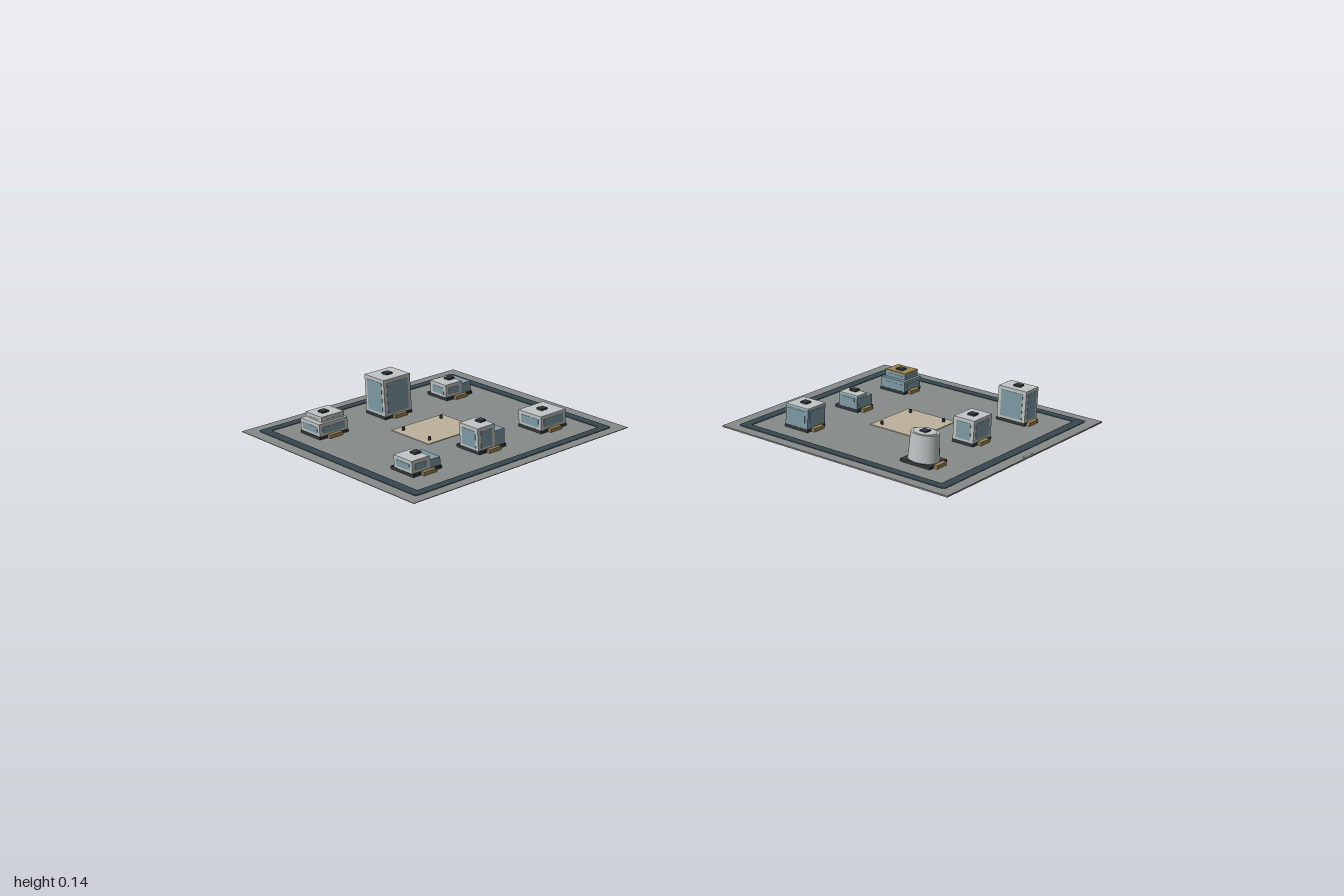
import * as THREE from 'three';

const COLORS = {
  ground: 0x868b89, road: 0x37474f, plaza: 0xbdb29b, wall: 0xc0c6c5,
  glass: 0x7f9ca6, dark: 0x33393c, brown: 0x9a8455,
};
const materials = {};
const mat = (key) => (materials[key] ??= new THREE.MeshStandardMaterial({ color: COLORS[key] }));

// Box standing on y, centred on x and z
function box(parent, name, color, w, h, d, x = 0, y = 0, z = 0) {
  const mesh = new THREE.Mesh(new THREE.BoxGeometry(w, h, d), mat(color));
  mesh.name = name;
  mesh.position.set(x, y + h / 2, z);
  parent.add(mesh);
  return mesh;
}

const BASE = 0.01;

// Block with inset glass on all four sides and a thin roof
function block(parent, w, h, d, x, y, z, wall = 'wall', roof = 'wall') {
  const t = 0.002, gap = 0.012, gh = h - 0.02;
  box(parent, 'walls', wall, w, h - 0.005, d, x, y, z);
  box(parent, 'roof', roof, w, 0.005, d, x, y + h - 0.005, z);
  for (const s of [-1, 1]) {
    box(parent, 'glassPanel', 'glass', w - 2 * gap, gh, t, x, y + 0.008, z + s * d / 2);
    box(parent, 'glassPanel', 'glass', t, gh, d - 2 * gap, x + s * w / 2, y + 0.008, z);
  }
}

const forms = {
  // Plain block
  plain(g, { w, h, d, wall }) {
    block(g, w, h - BASE, d, 0, BASE, 0, wall);
    return h;
  },
  // Lower tier with a smaller tier on top
  stepped(g, { w, h, d, low, wall, roof }) {
    block(g, w, low - BASE, d, 0, BASE, 0, wall, wall);
    block(g, w * 0.8, h - low, d * 0.84, w * 0.06, low, -d * 0.02, wall, roof);
    return h;
  },
  // Tall main wing beside a lower glass wing
  winged(g, { w, h, d, low, wall }) {
    const main = w * 0.63;
    block(g, main, h - BASE, d * 0.82, (main - w) / 2, BASE, d * 0.05, wall);
    box(g, 'sideWing', 'glass', w - main, low - BASE, d * 0.84, main / 2, BASE, d * 0.04);
    return h;
  },
  // Tapered oval tower
  round(g, { w, h, d }) {
    const tower = new THREE.Mesh(new THREE.CylinderGeometry(0.43, 0.48, h - BASE, 32), mat('wall'));
    tower.name = 'ovalTower';
    tower.scale.set(w, 1, d);
    tower.position.y = (h + BASE) / 2;
    const inset = new THREE.Mesh(new THREE.CylinderGeometry(0.36, 0.36, 0.002, 32), mat('wall'));
    inset.name = 'ovalRoof';
    inset.scale.set(w, 1, d);
    inset.position.y = h + 0.001;
    g.add(tower, inset);
    return h;
  },
};

function building(spec) {
  const g = new THREE.Group();
  g.name = spec.form + 'Building';
  const { w, d } = spec;
  box(g, 'foundation', 'dark', w + 0.002, BASE, d + 0.002);
  const top = forms[spec.form](g, spec);
  box(g, 'roofVent', 'dark', 0.025, 0.006, 0.025, 0, top, 0);
  box(g, 'entranceStep', 'brown', 0.05, 0.012, 0.014, 0, 0, d / 2 + 0.007);
  return g;
}

// Square ring road with softened outer corners
function ringRoad() {
  const r = 0.407, c = 0.012, i = 0.376;
  const s = new THREE.Shape();
  s.moveTo(-r + c, -r);
  s.lineTo(r - c, -r); s.quadraticCurveTo(r, -r, r, -r + c);
  s.lineTo(r, r - c); s.quadraticCurveTo(r, r, r - c, r);
  s.lineTo(-r + c, r); s.quadraticCurveTo(-r, r, -r, r - c);
  s.lineTo(-r, -r + c); s.quadraticCurveTo(-r, -r, -r + c, -r);
  const hole = new THREE.Path();
  hole.moveTo(-i, -i); hole.lineTo(-i, i); hole.lineTo(i, i); hole.lineTo(i, -i); hole.closePath();
  s.holes.push(hole);
  const geo = new THREE.ExtrudeGeometry(s, { depth: 0.002, bevelEnabled: false });
  geo.rotateX(-Math.PI / 2);
  const road = new THREE.Mesh(geo, mat('road'));
  road.name = 'ringRoad';
  return road;
}

function district(name, x, z, thickness, specs) {
  const g = new THREE.Group();
  g.name = name;
  g.position.set(x, 0, z);
  box(g, 'groundSlab', 'ground', 0.89, thickness, 0.89);
  const road = ringRoad();
  road.position.y = thickness;
  g.add(road);

  // Central plaza with corner posts
  box(g, 'plaza', 'plaza', 0.212, 0.002, 0.19, 0, thickness);
  for (const sx of [-1, 1]) for (const sz of [-1, 1]) {
    const post = new THREE.Mesh(new THREE.CylinderGeometry(0.005, 0.005, 0.013, 8), mat('dark'));
    post.name = 'plazaPost';
    post.position.set(sx * 0.079, thickness + 0.0065, sz * 0.067);
    g.add(post);
  }

  // Two rows of three buildings
  specs.forEach((spec, n) => {
    const b = building(spec);
    b.position.set((n % 3 - 1) * 0.263, thickness, n < 3 ? -0.243 : 0.23);
    g.add(b);
  });
  return g;
}

export function createModel() {
  const model = new THREE.Group();
  model.name = 'twinDistricts';

  model.add(district('backDistrict', -0.555, -0.555, 0.002, [
    { form: 'stepped', w: 0.11, d: 0.102, h: 0.07, low: 0.052 },
    { form: 'plain', w: 0.11, d: 0.102, h: 0.137 },
    { form: 'winged', w: 0.11, d: 0.102, h: 0.055, low: 0.045 },
    { form: 'winged', w: 0.11, d: 0.108, h: 0.051, low: 0.037 },
    { form: 'winged', w: 0.11, d: 0.108, h: 0.086, low: 0.06 },
    { form: 'plain', w: 0.11, d: 0.108, h: 0.058 },
  ]));

  const front = district('frontDistrict', 0.555, 0.555, 0.005, [
    { form: 'plain', w: 0.09, d: 0.092, h: 0.081, wall: 'glass' },
    { form: 'winged', w: 0.082, d: 0.092, h: 0.058, low: 0.045, wall: 'glass' },
    { form: 'stepped', w: 0.092, d: 0.1, h: 0.07, low: 0.046, wall: 'glass', roof: 'brown' },
    { form: 'round', w: 0.09, d: 0.11, h: 0.1 },
    { form: 'plain', w: 0.1, d: 0.078, h: 0.087 },
    { form: 'plain', w: 0.073, d: 0.106, h: 0.119 },
  ]);
  // Low gate slab at the front edge
  box(front, 'gateSlab', 'wall', 0.045, 0.004, 0.008, 0, 0.005, 0.441);
  model.add(front);
  return model;
}
